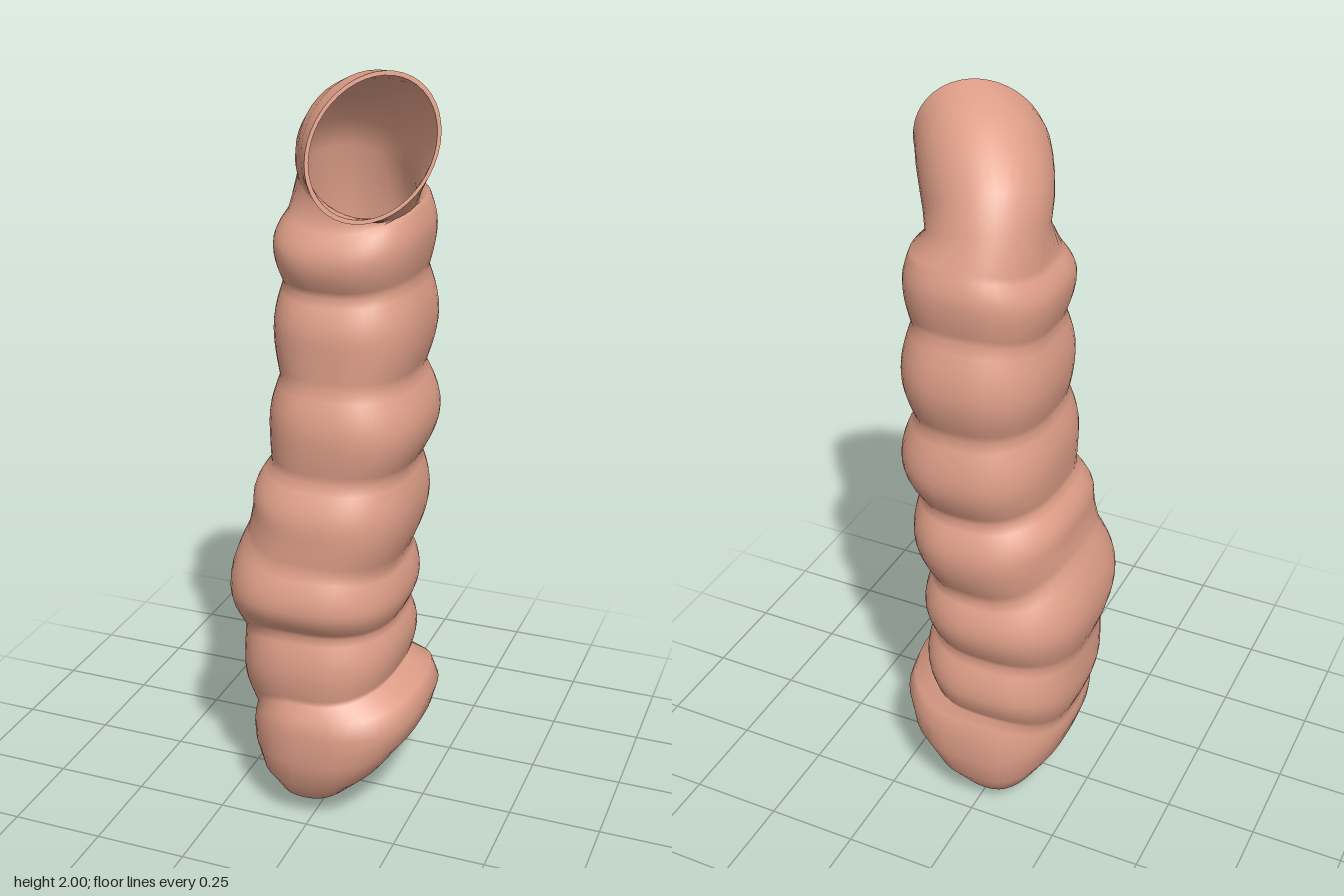
import * as THREE from 'three';

const SIDES = 44;
const skin = new THREE.MeshStandardMaterial({ color: 0xdf9f88, side: THREE.DoubleSide });
skin.name = 'salmon skin';

// Squarish ring from its extreme points: left x,y / right x,y / front z,y / back z,y
function bodyRing([xL, yL, xR, yR, zF, yF, zB, yB]) {
  const ring = [];
  const square = (v) => Math.sign(v) * Math.pow(Math.abs(v), 0.78);
  for (let j = 0; j < SIDES; j++) {
    const t = (j / SIDES) * Math.PI * 2, c = Math.cos(t), s = Math.sin(t);
    ring.push(new THREE.Vector3(
      (xL + xR) / 2 + square(c) * (xR - xL) / 2,
      c * c * (c > 0 ? yR : yL) + s * s * (s > 0 ? yF : yB),
      (zF + zB) / 2 + square(s) * (zF - zB) / 2));
  }
  return ring;
}

// Tilted ring between a hinge point under the mouth and a point on the nape
const MOUTH_ANGLE = Math.atan2(0.77, 0.63);
const SIDEWAYS = new THREE.Vector3(-0.77, 0, 0.64);
function headRing([hinge, nape, halfWidth, slope]) {
  const h = new THREE.Vector3(...hinge), n = new THREE.Vector3(...nape);
  const centre = h.clone().add(n).multiplyScalar(0.5);
  const u = h.sub(n).multiplyScalar(0.5);
  const side = SIDEWAYS.clone().multiplyScalar(halfWidth);
  side.y = -slope;
  return Array.from({ length: SIDES }, (_, j) => {
    const t = (j / SIDES) * Math.PI * 2 - MOUTH_ANGLE;
    return centre.clone().addScaledVector(u, Math.cos(t)).addScaledVector(side, Math.sin(t));
  });
}

function shrink(ring, k) {
  const c = ring.reduce((a, p) => a.add(p), new THREE.Vector3()).divideScalar(SIDES);
  return ring.map((p) => p.clone().sub(c).multiplyScalar(k).add(c));
}

// Skin a list of rings; caps close an end onto a single point
function loft(name, rings, startCap, endCap) {
  const pos = [], index = [];
  rings.forEach((r) => r.forEach((p) => pos.push(p.x, p.y, p.z)));
  for (let i = 0; i < rings.length - 1; i++) {
    for (let j = 0; j < SIDES; j++) {
      const a = i * SIDES + j, b = i * SIDES + (j + 1) % SIDES;
      index.push(a, a + SIDES, b, b, a + SIDES, b + SIDES);
    }
  }
  const cap = (point, first, flip) => {
    const tip = pos.length / 3;
    pos.push(point.x, point.y, point.z);
    for (let j = 0; j < SIDES; j++) {
      const a = first + j, b = first + (j + 1) % SIDES;
      index.push(tip, flip ? b : a, flip ? a : b);
    }
  };
  if (startCap) cap(startCap, 0, false);
  if (endCap) cap(endCap, (rings.length - 1) * SIDES, true);
  const g = new THREE.BufferGeometry();
  g.setAttribute('position', new THREE.Float32BufferAttribute(pos, 3));
  g.setIndex(index);
  g.computeVertexNormals();
  const mesh = new THREE.Mesh(g, skin);
  mesh.name = name;
  return mesh;
}

export function createModel() {
  // Slanted, blunt tail
  const tail = [
    [-0.08, 0.022, 0.02, 0.022, 0.15, 0.018, -0.14, 0.018],
    [-0.14, 0.08, 0.10, 0.08, 0.215, 0.06, -0.21, 0.055],
    [-0.18, 0.14, 0.18, 0.16, 0.265, 0.125, -0.25, 0.115],
    [-0.2, 0.2, 0.245, 0.25, 0.288, 0.21, -0.27, 0.2],
    [-0.205, 0.23, 0.264, 0.315, 0.288, 0.3, -0.267, 0.28],
    [-0.203, 0.25, 0.245, 0.37, 0.277, 0.345, -0.255, 0.325],
  ];
  // Body segments: crease, bulge, crease, bulge ...
  const folds = [
    [-0.2, 0.27, 0.18, 0.4, 0.25, 0.37, -0.24, 0.35],
    [-0.237, 0.4, 0.195, 0.48, 0.262, 0.46, -0.265, 0.43],
    [-0.235, 0.51, 0.175, 0.56, 0.24, 0.57, -0.235, 0.54],
    [-0.267, 0.65, 0.202, 0.64, 0.29, 0.66, -0.27, 0.64],
    [-0.217, 0.82, 0.18, 0.73, 0.258, 0.76, -0.235, 0.74],
    [-0.205, 0.91, 0.22, 0.88, 0.257, 0.87, -0.275, 0.87],
    [-0.16, 1.0, 0.2, 0.99, 0.21, 0.99, -0.235, 0.98],
    [-0.167, 1.11, 0.24, 1.11, 0.222, 1.11, -0.28, 1.1],
    [-0.14, 1.23, 0.2, 1.23, 0.19, 1.23, -0.25, 1.23],
    [-0.162, 1.35, 0.225, 1.36, 0.19, 1.35, -0.285, 1.36],
    [-0.14, 1.47, 0.2, 1.48, 0.155, 1.46, -0.25, 1.5],
    [-0.16, 1.57, 0.22, 1.59, 0.185, 1.545, -0.265, 1.6],
    [-0.125, 1.65, 0.2, 1.67, 0.155, 1.62, -0.243, 1.68],
  ];
  const rows = [...tail];
  const STEPS = 5;
  for (let i = 0; i < folds.length - 1; i++) {
    for (let k = 0; k < STEPS; k++) {
      const t = k / STEPS;
      // sharp at creases, round at bulges
      const e = i % 2 === 0 ? Math.sin(t * Math.PI / 2) : 1 - Math.cos(t * Math.PI / 2);
      rows.push(folds[i].map((v, n) => THREE.MathUtils.lerp(v, folds[i + 1][n], n % 2 ? t : e)));
    }
  }
  rows.push(folds[folds.length - 1]);

  // Head bending forward into the open mouth
  const head = [
    [[0.146, 1.645, 0.105], [-0.072, 1.765, -0.182], 0.15, 0],
    [[0.149, 1.65, 0.12], [-0.052, 1.845, -0.14], 0.157, 0.005],
    [[0.152, 1.654, 0.13], [-0.015, 1.915, -0.082], 0.163, 0.015],
    [[0.155, 1.657, 0.14], [0.035, 1.966, -0.005], 0.167, 0.025],
    [[0.157, 1.66, 0.147], [0.08, 1.99, 0.07], 0.168, 0.035],
    [[0.16, 1.663, 0.152], [0.115, 1.995, 0.123], 0.168, 0.045],
  ].map(headRing);
  const body = loft('segmentedBody', [...rows.map(bodyRing), ...head],
    new THREE.Vector3(-0.03, 0, 0.01), null);

  // Thin lip and the deep hollow behind it
  const rim = head[head.length - 1];
  const lip = loft('mouthLip', [rim, shrink(rim, 0.94)]);
  const throat = [...head].reverse().map((r) => shrink(r, 0.94));
  for (const y of [1.58, 1.4, 1.25]) {
    throat.push(shrink(bodyRing([-0.13, y, 0.2, y, 0.155, y, -0.24, y]), 0.88));
  }
  const lining = loft('mouthLining', throat, null, new THREE.Vector3(0.03, 1.18, -0.04));

  const group = new THREE.Group();
  group.name = 'segmentedWorm';
  group.add(body, lip, lining);
  return group;
}
